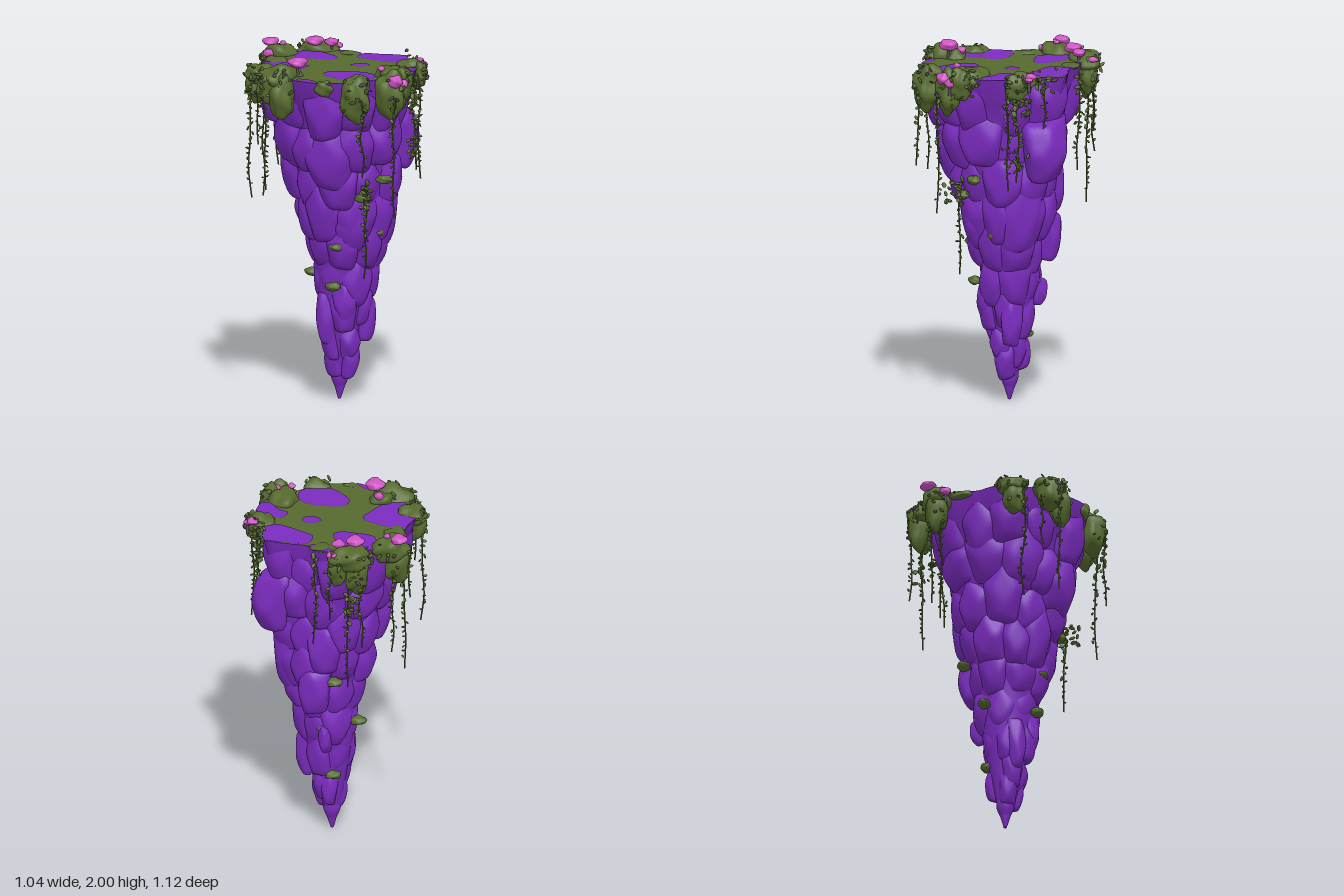
import * as THREE from 'three';
import { mergeGeometries, mergeVertices } from 'three/addons/utils/BufferGeometryUtils.js';

const TOP = 1.88;
const paint = hex => new THREE.MeshStandardMaterial({ color: hex });
const { lerp, clamp, smoothstep } = THREE.MathUtils;

export function createModel() {
  const group = new THREE.Group();
  const stone = paint(0x7b2cbf), moss = paint(0x566a2e), petal = paint(0xcf52c4), sprig = paint(0x5a4a5e);
  stone.name = 'purple stone'; moss.name = 'olive moss'; petal.name = 'pink petal'; sprig.name = 'dusky sprig';
  const add = (name, geometry, material) => {
    const mesh = new THREE.Mesh(geometry, material);
    mesh.name = name;
    group.add(mesh);
  };
  let seed = 11;
  const rnd = (a = 0, b = 1) => {
    seed = (seed * 16807) % 2147483647;
    return a + (b - a) * seed / 2147483647;
  };

  // Rim radius every 15 degrees from the front towards +x, and mean radius by height
  const rim = [.45, .43, .42, .45, .46, .455, .4, .42, .48, .41, .37, .41, .45, .44, .44, .45, .41, .41, .45, .44, .43, .43, .45, .47];
  const taper = [[0, .01], [.1, .045], [.2, .075], [.4, .125], [.6, .17], [.8, .2], [1, .25], [1.2, .3], [1.4, .35], [1.6, .395], [1.88, .435]];
  const rimAt = a => {
    const t = ((a / (Math.PI * 2) + 2) % 1) * 24, i = Math.floor(t);
    return lerp(rim[i % 24], rim[(i + 1) % 24], t - i);
  };
  const radius = (y, a) => {
    let i = 0;
    while (i < taper.length - 2 && y > taper[i + 1][0]) i++;
    const [y0, r0] = taper[i], [y1, r1] = taper[i + 1];
    return lerp(r0, r1, clamp((y - y0) / (y1 - y0), 0, 1)) * lerp(1, rimAt(a) / .435, smoothstep(y, .9, 1.8));
  };
  const centreX = y => y < 1 ? .02 + .035 * y : lerp(.055, 0, clamp((y - 1) / .8, 0, 1));
  const centreZ = y => lerp(-.02, 0, clamp(y / 1.8, 0, 1));

  // Moves the vertices of a geometry by a rule and smooths it
  const warp = (geometry, rule) => {
    const p = geometry.attributes.position, v = new THREE.Vector3();
    for (let i = 0; i < p.count; i++) {
      rule(v.fromBufferAttribute(p, i));
      p.setXYZ(i, v.x, v.y, v.z);
    }
    geometry.computeVertexNormals();
    return geometry;
  };
  const ball = detail => {
    const g = new THREE.IcosahedronGeometry(1, detail);
    g.deleteAttribute('uv');
    g.deleteAttribute('normal');
    return mergeVertices(g, 1e-4);
  };

  // Tapering core
  add('core', warp(new THREE.CylinderGeometry(1, 1, TOP, 72, 24), v => {
    const y = v.y + TOP / 2, a = Math.atan2(v.x, v.z);
    const k = radius(y, a) * lerp(.84, .99, smoothstep(y, 1.6, 1.86));
    v.set(centreX(y) + v.x * k, y, centreZ(y) + v.z * k);
  }), stone);

  // A rounded, many-planed boulder facing outwards at an angle in degrees
  const rocks = [];
  const rock = (y, deg, hw, hh, out = 0) => {
    const a = deg * Math.PI / 180, j = () => rnd(-.16, .16);
    const planes = [[1, -.22, 0], [-1, -.22, 0], [0, -.18, 1], [0, 0, -1], [0, 1, .15], [0, -1, 0],
      [.7, .5, .75], [-.7, .5, .75], [.75, -.6, .6], [-.75, -.6, .6], [.2, -.8, .7]]
      .map(([x, py, z]) => new THREE.Vector3(x + j(), py + j() * .6, z + j()).normalize().divideScalar(rnd(.86, 1)));
    const depth = Math.max(.05, hw * .75), r = Math.max(0, radius(y, a) - depth + out);
    const cx = centreX(y) + Math.sin(a) * r, cz = centreZ(y) + Math.cos(a) * r;
    const turn = a + rnd(-.12, .12), up = new THREE.Vector3(0, 1, 0);
    rocks.push(warp(ball(6), v => {
      const s = planes.reduce((sum, n) => sum + Math.max(0, v.dot(n)) ** 12, 0);
      v.multiplyScalar(s ** (-1 / 12));
      v.set(v.x * hw, v.y * hh, v.z * depth).applyAxisAngle(up, turn);
      v.set(v.x + cx, Math.min(v.y + y, TOP), v.z + cz);
    }));
  };
  // Rings: height, half height, count, half width, first angle
  for (const [y, hh, n, hw, first] of [[1.74, .19, 11, .125, -16], [1.52, .18, 9, .135, 8], [1.3, .18, 9, .12, -12],
    [1.1, .18, 8, .11, 17], [.9, .17, 7, .1, -8], [.7, .15, 6, .095, 24], [.51, .14, 5, .075, -5], [.33, .12, 4, .06, 30]])
    for (let i = 0; i < n; i++)
      rock(y + rnd(-.04, .04), first + i * 360 / n + rnd(-6, 6), hw * rnd(.88, 1.12), hh * rnd(.88, 1.12), rnd(-.025, .015));
  // Prominent boulders
  for (const r of [[1.42, -17, .14, .2, .02], [1.45, 111, .12, .17, .11], [1.1, 92, .12, .25, .03], [1.03, 8, .11, .17, .01],
    [1.12, -40, .11, .2, .01], [.94, 160, .09, .16, .06], [.46, 80, .06, .135, .05], [.47, -55, .055, .16, .03],
    [.57, 0, .065, .12, .02], [.61, 170, .035, .085, .04], [1.2, 172, .1, .16, .02], [1.55, -70, .13, .2, 0],
    [.24, 50, .055, .12, .03], [.24, -70, .055, .12, .01], [.26, 170, .045, .1, .03]]) rock(...r);
  add('boulders', mergeGeometries(rocks), stone);
  add('tip', warp(ball(6), v => {
    const k = lerp(.3, 1, smoothstep(v.y, -1, .1));
    v.set(.022 + v.x * .05 * k, .125 + v.y * .122, -.02 + v.z * .05 * k);
  }), stone);

  // Flat moss carpet with bare stone patches
  const flat = (name, points, y, material) => {
    const shape = new THREE.Shape(points.map(([x, z]) => {
      const k = Math.min(1, rimAt(Math.atan2(x, z)) / Math.hypot(x, z));
      return new THREE.Vector2(x * k, -z * k);
    }));
    add(name, new THREE.ShapeGeometry(shape).rotateX(-Math.PI / 2).translate(0, y, 0), material);
  };
  const smooth = pts => new THREE.CatmullRomCurve3(pts.map(([x, z]) => new THREE.Vector3(x, 0, z)), true, 'centripetal')
    .getPoints(60).slice(0, -1).map(p => [p.x, p.z]);
  flat('mossCarpet', rim.map((r, i) => [Math.sin(i * Math.PI / 12) * r, Math.cos(i * Math.PI / 12) * r]), TOP + .004, moss);
  for (const pts of [
    [[-.2, -.39], [-.1, -.43], [-.02, -.33], [.02, -.26], [.02, -.19], [-.02, -.17], [-.1, -.19], [-.19, -.23], [-.21, -.28]],
    [[-.37, -.14], [-.28, -.12], [-.2, -.07], [-.15, 0], [-.2, .08], [-.27, .16], [-.35, .19], [-.41, .17], [-.44, .1], [-.45, 0], [-.43, -.08]],
    [[.19, -.32], [.28, -.29], [.38, -.27], [.43, -.22], [.41, -.1], [.34, -.05], [.27, -.09], [.2, -.15], [.14, -.21], [.15, -.27]],
    [[.31, .02], [.4, .07], [.45, .13], [.42, .21], [.36, .23], [.31, .14], [.26, .09]],
    [[-.06, .16], [.05, .16], [.15, .2], [.19, .27], [.17, .37], [.08, .4], [0, .38], [-.05, .32], [-.09, .23]],
    [[.08, -.02], [.13, -.05], [.18, -.03], [.18, .02], [.13, .035], [.09, .01]],
    [[-.24, .34], [-.19, .36], [-.14, .45], [-.2, .44], [-.25, .4]],
    [[.04, -.4], [.1, -.42], [.17, -.34], [.14, -.32], [.08, -.36]]]) flat('barePatch', smooth(pts), TOP + .008, stone);

  // Lumpy blobs for moss and blooms, and small flattened leaves
  const mossParts = [], leaves = [], sprigs = [], blooms = [];
  const blob = (list, x, y, z, rx, ry, rz, lump = .13, detail = 5) => {
    const s = rnd(0, 20);
    list.push(warp(ball(detail), v => {
      const k = 1 + lump * (Math.sin(v.x * 4 + s) * Math.cos(v.z * 4 - s) + .7 * Math.sin(v.y * 5 + v.x * 3 + s * 2));
      v.set(x + v.x * rx * k, y + v.y * ry * k, z + v.z * rz * k);
    }));
  };
  const leaf = (list, x, y, z, size) => {
    const g = new THREE.SphereGeometry(size, 6, 4);
    g.scale(1, .35, .6).rotateX(rnd(-1, 1)).rotateZ(rnd(-1.2, 1.2)).rotateY(rnd(0, 6.3));
    list.push(g.translate(x, y, z));
  };
  // Clumps: position, half sizes, number of loose leaves
  for (const [x, y, z, rx, ry, rz, n] of [
    [-.34, 1.87, .27, .11, .08, .09, 16], [-.33, 1.78, .33, .075, .12, .06, 6], [-.27, 1.89, .22, .07, .05, .06, 4],
    [-.4, 1.83, .28, .06, .09, .07, 6], [-.42, 1.87, .07, .09, .05, .085, 12], [-.46, 1.8, .09, .045, .1, .06, 6],
    [.07, 1.79, .465, .085, .125, .07, 10], [.08, 1.86, .43, .075, .06, .06, 4],
    [.28, 1.87, .27, .09, .07, .11, 12], [.27, 1.8, .39, .09, .13, .065, 8], [.34, 1.85, .34, .055, .09, .06, 10],
    [.41, 1.87, .01, .075, .05, .085, 14], [.46, 1.84, .05, .04, .07, .06, 12],
    [-.05, 1.87, -.47, .12, .07, .085, 14], [-.09, 1.78, -.49, .065, .12, .055, 8], [.02, 1.81, -.47, .055, .1, .05, 8],
    [-.28, 1.87, -.36, .1, .075, .08, 14], [-.32, 1.78, -.36, .07, .12, .06, 6], [-.31, 1.875, -.2, .07, .025, .09, 2],
    [-.1, 1.85, .43, .05, .045, .035, 0], [.1, 1.88, -.35, .06, .015, .05, 0]]) {
    blob(mossParts, x, y, z, rx, ry, rz);
    for (let i = 0; i < n; i++) {
      const a = Math.atan2(x, z) + rnd(-1.5, 1.5), h = rnd(-.5, .9), k = Math.sqrt(1 - h * h * .6) * 1.08;
      leaf(i % 6 ? leaves : sprigs, x + Math.sin(a) * rx * k, y + h * ry, z + Math.cos(a) * rz * k, rnd(.012, .024));
    }
  }
  // Moss in the cracks
  for (const [x, y, z] of [[-.01, .9, .19], [-.03, .67, .165], [.13, 1.19, .27], [.25, 1.29, .24], [.22, .97, .12],
    [.02, 1.0, -.25], [.07, .68, -.15], [.19, .82, .04], [-.12, .7, -.12], [.02, .37, -.12]])
    blob(mossParts, x, y, z, .045, .025, .035, .1, 4);
  add('mossClumps', mergeGeometries(mossParts), moss);

  // Hanging vines: x, z, start height, end height, leaf size
  const vines = [];
  for (const [x, z, y0, y1, s] of [[-.49, .14, 1.86, 1.18, .018], [-.43, .33, 1.84, 1.23, .016], [-.46, .24, 1.8, 1.5, .014],
    [.1, .53, 1.8, 1.36, .02], [.285, .46, 1.78, 1.12, .018], [.455, .1, 1.85, 1.26, .017], [.14, .29, 1.28, .74, .02],
    [.43, .04, 1.8, 1.3, .026], [.44, -.12, 1.86, 1.5, .018], [-.04, -.48, 1.8, 1.08, .019], [-.11, -.53, 1.84, 1.35, .018],
    [.06, -.49, 1.84, 1.5, .018], [-.3, -.4, 1.75, 1.25, .017], [-.36, -.33, 1.8, 1.12, .017], [.14, -.38, 1.85, 1.3, .02]]) {
    const path = new THREE.CatmullRomCurve3([0, .25, .5, .75, 1].map(t =>
      new THREE.Vector3(x + rnd(-.012, .012), lerp(y0, y1, t), z + rnd(-.012, .012))));
    vines.push(new THREE.TubeGeometry(path, 16, .0045, 5));
    const n = Math.round((y0 - y1) * 32);
    for (let i = 0; i < n; i++) {
      const t = i / n, p = path.getPoint(t * .93);
      leaf(leaves, p.x + rnd(-.014, .014), p.y, p.z + rnd(-.014, .014), s * lerp(1.15, .6, t));
    }
  }
  // Leafy tufts on the stone
  for (const [x, y, z, n] of [[.14, 1.2, .31, 16], [.42, 1.42, .05, 12], [.42, 1.74, .03, 34], [.43, 1.86, -.12, 14], [.38, 1.83, .33, 10], [-.07, 1.55, -.46, 12]])
    for (let i = 0; i < n; i++) leaf(leaves, x + rnd(-.03, .03), y + rnd(-.07, .07), z + rnd(-.07, .07), rnd(.014, .026));
  add('vines', mergeGeometries(vines), moss);
  add('leaves', mergeGeometries(leaves), moss);

  // Pink blooms on short stalks: position, half width, half height
  for (const [x, y, z, r, h] of [[-.235, 1.965, .265, .052, .03], [-.25, 1.93, .185, .025, .02], [.3, 1.885, .36, .04, .04],
    [.295, 1.88, .42, .042, .036], [.34, 1.86, .4, .03, .025], [.225, 1.935, .33, .02, .016], [-.33, 1.945, -.405, .045, .025],
    [-.35, 1.9, -.31, .03, .022], [-.265, 1.945, -.36, .018, .014], [-.085, 1.945, -.41, .048, .026], [.01, 1.935, -.42, .035, .022],
    [.05, 1.9, -.49, .03, .016], [.46, 1.9, -.03, .035, .018], [.49, 1.885, -.015, .022, .014]]) {
    blob(blooms, x, y, z, r, h, r, .1, 4);
    sprigs.push(new THREE.CylinderGeometry(.007, .01, .07, 6).translate(x, y - .035, z));
  }
  add('blooms', mergeGeometries(blooms), petal);
  add('sprigs', mergeGeometries(sprigs), sprig);
  return group;
}
